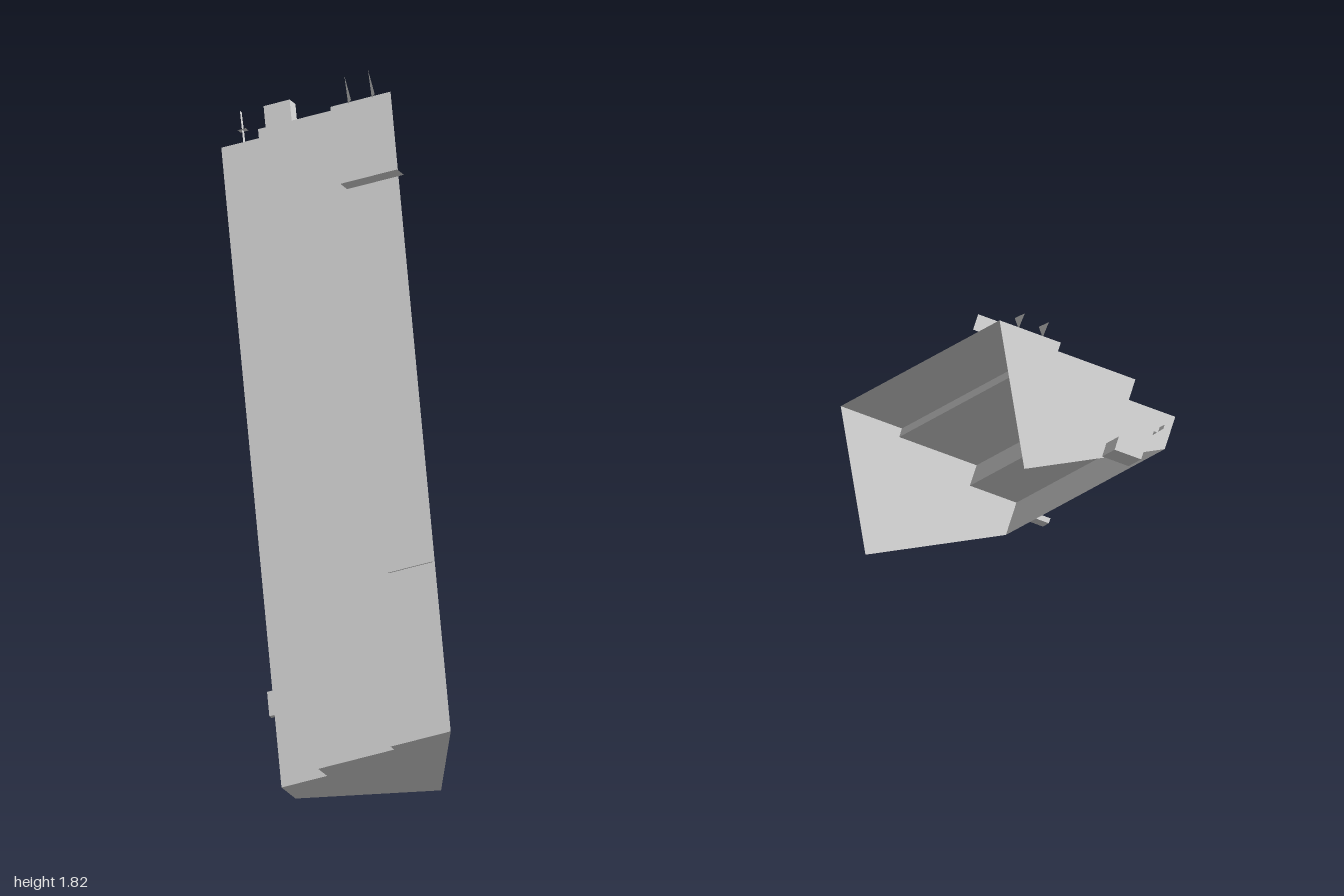
import * as THREE from 'three';

const grey = new THREE.MeshStandardMaterial({ color: 0xcccccc, side: THREE.DoubleSide });
grey.name = 'light grey';

// Local frame: x across the treads, y out of the treads, -z up the slope
const LENGTH = 2.354;
const profile = [
  [0, 0], [0, 0.117], [0.17, 0.117], [0.17, 0.191],
  [0.453, 0.191], [0.453, 0.222], [0.677, 0.222],
];
const capCorner = [0.438, -0.23];

function add(parent, name, geometry) {
  const mesh = new THREE.Mesh(geometry, grey);
  mesh.name = name;
  parent.add(mesh);
  return mesh;
}

// Flat convex polygon from corners given as [across, out, along]
function facet(corners) {
  const pos = [];
  for (let i = 1; i < corners.length - 1; i++) {
    for (const [t, n, u] of [corners[0], corners[i], corners[i + 1]]) pos.push(t, n, -u);
  }
  const g = new THREE.BufferGeometry();
  g.setAttribute('position', new THREE.Float32BufferAttribute(pos, 3));
  g.computeVertexNormals();
  return g;
}

// Box between two corners in the same coordinates
function block([t0, n0, u0], [t1, n1, u1]) {
  return new THREE.BoxGeometry(t1 - t0, n1 - n0, u1 - u0)
    .translate((t0 + t1) / 2, (n0 + n1) / 2, -(u0 + u1) / 2);
}

export function createModel() {
  const model = new THREE.Group();
  model.name = 'steppedSlope';
  const body = new THREE.Group();
  body.name = 'slopedBody';
  model.add(body);

  // Stepped sheet: alternating risers and treads, open underneath
  for (let i = 0; i < profile.length - 1; i++) {
    const a = profile[i], b = profile[i + 1];
    add(body, i % 2 ? 'tread' : 'riser',
      facet([[...a, 0], [...a, LENGTH], [...b, LENGTH], [...b, 0]]));
  }

  // End walls
  const outline = new THREE.Shape([...profile, capCorner].map(([t, n]) => new THREE.Vector2(t, n)));
  add(body, 'lowerEndWall', new THREE.ShapeGeometry(outline));
  add(body, 'upperEndWall', new THREE.ShapeGeometry(outline)).position.z = -LENGTH;

  // Cross plates standing on the top tread
  add(body, 'tallCrossPlate', facet([
    [0.486, 0.222, 2.043], [0.697, 0.222, 2.043], [0.697, 0.278, 2.043], [0.486, 0.278, 2.043]]));
  add(body, 'lowCrossPlate', facet([
    [0.505, 0.222, 0.625], [0.67, 0.222, 0.625], [0.67, 0.227, 0.625], [0.505, 0.227, 0.625]]));

  // Pointed blades past the upper end
  for (const t of [0.529, 0.617]) {
    add(body, 'spike', facet([
      [t - 0.012, 0.218, LENGTH - 0.005], [t + 0.012, 0.248, LENGTH - 0.005], [t, 0.258, 2.438]]));
  }
  add(body, 'smallBlade', facet([
    [0.055, 0.03, LENGTH], [0.055, 0.05, LENGTH], [0.053, 0.05, 2.5], [0.053, 0.035, 2.5]]));
  add(body, 'smallBladeCrossbar', facet([
    [0.04, 0.03, 2.43], [0.07, 0.03, 2.43], [0.07, 0.055, 2.43], [0.04, 0.055, 2.43]]));

  // Beam stub behind the upper end and tab on the low side
  add(body, 'beamStub', block([0.1, -0.098, LENGTH], [0.197, -0.05, 2.54]));
  add(body, 'sideTab', block([-0.056, 0.01, 0.307], [0, 0.028, 0.397]));

  // Lean the body diagonally, resting on its lower edge
  const along = new THREE.Vector3(-1.405, 1.355, -1.315).normalize();
  const level = new THREE.Vector3(-along.z, 0, along.x).normalize();
  const rise = new THREE.Vector3().crossVectors(level, along);
  const angle = 0.4835;
  const across = level.clone().multiplyScalar(Math.cos(angle)).addScaledVector(rise, Math.sin(angle));
  const out = rise.clone().multiplyScalar(Math.cos(angle)).addScaledVector(level, -Math.sin(angle));
  body.quaternion.setFromRotationMatrix(
    new THREE.Matrix4().makeBasis(across, out, along.clone().negate()));
  body.position.set(0.44, 0, 0.8);
  return model;
}
